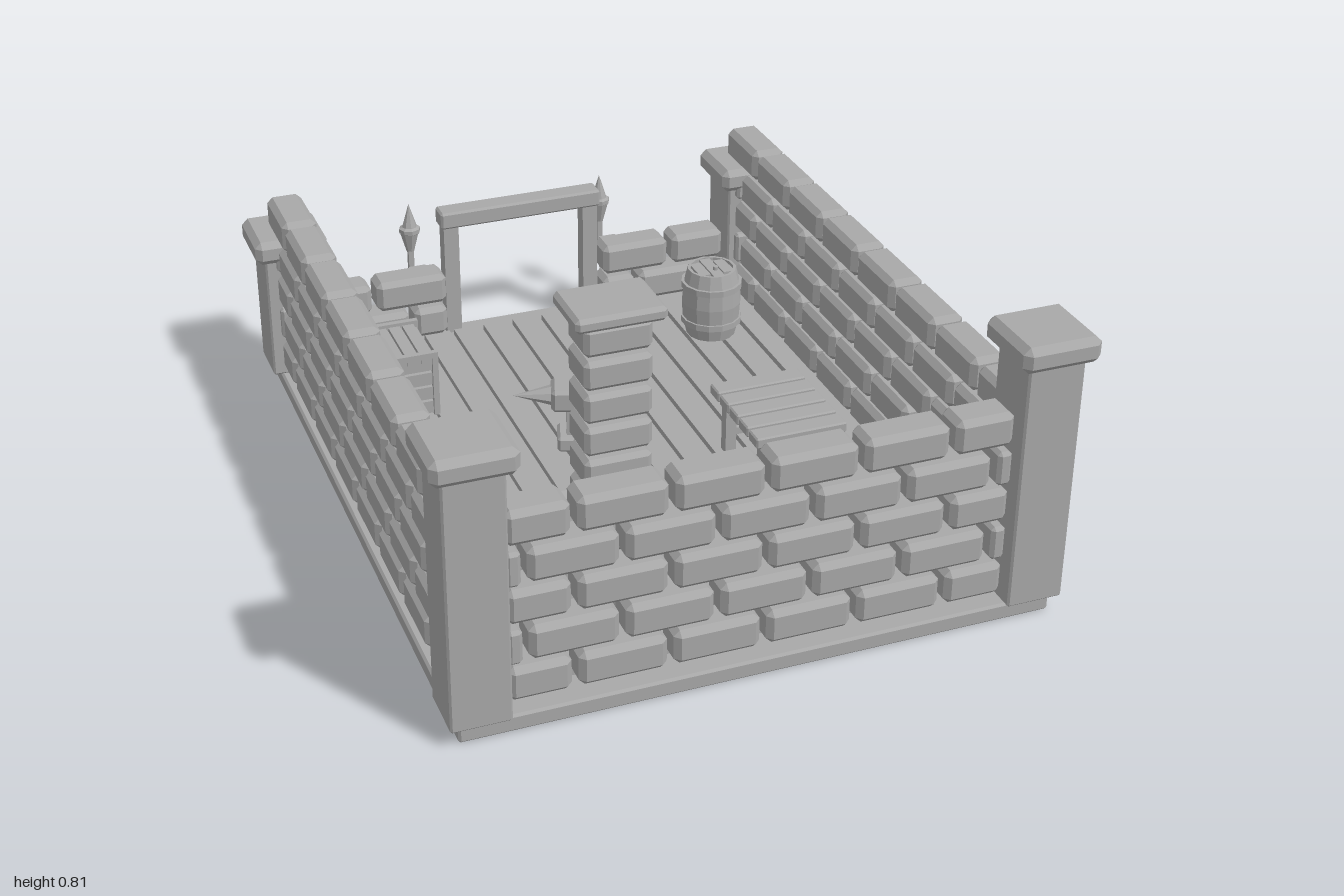
import * as THREE from 'three';
import { ConvexGeometry } from 'three/addons/geometries/ConvexGeometry.js';

const stone = new THREE.MeshStandardMaterial({ color: 0xa8a8a8, flatShading: true });
stone.name = 'stone grey';

// Box with cut edges, centred on its origin
function chamferBox(w, h, d, c) {
  const pts = [];
  for (const x of [-1, 1]) for (const y of [-1, 1]) for (const z of [-1, 1]) {
    const X = x * w / 2, Y = y * h / 2, Z = z * d / 2;
    pts.push(new THREE.Vector3(X, Y - y * c, Z - z * c),
      new THREE.Vector3(X - x * c, Y, Z - z * c),
      new THREE.Vector3(X - x * c, Y - y * c, Z));
  }
  return new ConvexGeometry(pts);
}

function add(parent, name, geometry, x = 0, y = 0, z = 0) {
  const mesh = new THREE.Mesh(geometry, stone);
  mesh.name = name;
  mesh.position.set(x, y, z);
  parent.add(mesh);
  return mesh;
}

function group(parent, name, x = 0, y = 0, z = 0) {
  const g = new THREE.Group();
  g.name = name;
  g.position.set(x, y, z);
  parent.add(g);
  return g;
}

// Block given by its minimum and maximum corners
function block(parent, name, x0, x1, y0, y1, z0, z1, c = 0) {
  const w = x1 - x0, h = y1 - y0, d = z1 - z0;
  const geo = c ? chamferBox(w, h, d, c) : new THREE.BoxGeometry(w, h, d);
  return add(parent, name, geo, (x0 + x1) / 2, (y0 + y1) / 2, (z0 + z1) / 2);
}

// One course of bricks from a to b; joints fall at start + k * pitch
function course(parent, axis, a, b, start, pitch, y, h, across, depth) {
  const gap = 0.016;
  for (let s = start - Math.ceil((start - a) / pitch) * pitch; s < b; s += pitch) {
    const lo = Math.max(a, s + gap / 2), hi = Math.min(b, s + pitch - gap / 2);
    if (hi - lo < 0.025) continue;
    const p = across - depth / 2, q = across + depth / 2;
    const c = Math.min(0.015, (hi - lo) / 4);
    if (axis === 'x') block(parent, 'brick', lo, hi, y, y + h, p, q, c);
    else block(parent, 'brick', p, q, y, y + h, lo, hi, c);
  }
}

function addWalls(model) {
  const front = group(model, 'frontWall'), back = group(model, 'backWall');
  const rows = [0.065, 0.166, 0.27, 0.371, 0.474];
  rows.forEach((y, i) => {
    const even = i % 2;
    course(front, 'x', -0.615, 0.615, even ? -0.572 : -0.456, 0.2285, y, 0.09, 0.893, 0.095);
    // Low wall on both sides of the doorway
    if (i < 2) {
      course(back, 'x', -0.615, -0.24, even ? -0.452 : -0.345, 0.22, y, 0.09, -0.832, 0.095);
      course(back, 'x', 0.24, 0.615, even ? 0.448 : 0.345, 0.22, y, 0.09, -0.832, 0.095);
    }
  });
  for (const s of [-1, 1]) {
    const side = group(model, s > 0 ? 'leftWall' : 'rightWall');
    rows.forEach((y, i) => course(side, 'z', i === 4 ? -0.83 : -0.76, 0.835,
      i % 2 ? 0.587 : 0.694, 0.2185, y, 0.09, s * 0.685, 0.095));
    // Corner posts: tall at the front, short at the back
    for (const [name, z, top] of [['frontPost', 0.9, 0.69], ['backPost', -0.825, 0.4]]) {
      const post = group(model, name, s * 0.69, 0, z);
      block(post, 'shaft', -0.0725, 0.0725, 0.045, top + 0.01, -0.0725, 0.0725, 0.005);
      block(post, 'cap', -0.1, 0.1, top, top + 0.067, -0.1, 0.1, 0.017);
    }
  }
}

function addDoorway(model) {
  const door = group(model, 'doorFrame');
  for (const x of [-0.21, 0.21]) block(door, 'doorPost', x - 0.022, x + 0.022, 0.045, 0.39, -0.87, -0.826);
  block(door, 'lintel', -0.24, 0.24, 0.38, 0.43, -0.882, -0.818, 0.006);
  // Torches on bent brackets
  const head = [[0, 0.255], [0.012, 0.26], [0.028, 0.318], [0.031, 0.32], [0.031, 0.332], [0.022, 0.337], [0, 0.408]]
    .map(p => new THREE.Vector2(...p));
  for (const x of [-0.295, 0.29]) {
    const torch = group(model, 'torch', x, 0, -0.968);
    block(torch, 'wallPlate', -0.025, 0.025, 0.14, 0.24, 0.066, 0.088);
    block(torch, 'arm', -0.008, 0.008, 0.165, 0.181, -0.008, 0.07);
    block(torch, 'stem', -0.008, 0.008, 0.165, 0.265, -0.008, 0.008);
    add(torch, 'torchHead', new THREE.LatheGeometry(head, 8));
  }
}

function addForge(model) {
  const forge = group(model, 'forge');
  for (let i = 0; i < 3; i++) {
    const y = 0.062 + i * 0.088, o = i % 2 ? 0.05 : 0.105;
    course(forge, 'x', -0.505, -0.1, -0.505 + o, 0.105, y, 0.08, 0.678, 0.045);
    course(forge, 'x', -0.505, -0.1, -0.505 + o, 0.105, y, 0.08, 0.512, 0.045);
    course(forge, 'z', 0.537, 0.653, 0.537, 0.13, y, 0.08, -0.483, 0.045);
    course(forge, 'z', 0.537, 0.653, 0.537, 0.13, y, 0.08, -0.122, 0.045);
  }
  block(forge, 'fireBed', -0.465, -0.14, 0.06, 0.3, 0.53, 0.66);
  // Coals
  for (let i = 0; i < 18; i++) {
    const coal = add(forge, 'coal', new THREE.IcosahedronGeometry(0.018 + (i % 3) * 0.004, 0),
      -0.42 + (i % 9) * 0.031, 0.308 + (i * 7 % 4) * 0.004, 0.585 + (i * 5 % 7) * 0.01);
    coal.rotation.set(i, i * 2, 0);
  }
  // Chimney
  for (let i = 0; i < 6; i++) {
    const y = 0.692 - i * 0.087;
    block(forge, 'chimneyStone', -0.305, -0.137, y, y + 0.076, 0.456, 0.582, 0.012);
  }
  block(forge, 'chimneyCap', -0.333, -0.11, 0.77, 0.807, 0.433, 0.605, 0.01);
}

function addAnvil(model) {
  const anvil = group(model, 'anvil', -0.09, 0, -0.075);
  anvil.rotation.y = -0.31;
  block(anvil, 'anvilFoot', -0.06, 0.06, 0.06, 0.105, -0.045, 0.045, 0.008);
  block(anvil, 'anvilWaist', -0.035, 0.035, 0.1, 0.19, -0.028, 0.028);
  block(anvil, 'anvilFace', -0.075, 0.08, 0.18, 0.245, -0.045, 0.045, 0.01);
  const horn = add(anvil, 'horn', new THREE.ConeGeometry(0.04, 0.11, 8), -0.12, 0.213, 0);
  horn.rotation.z = Math.PI / 2;
  horn.scale.x = 0.65;
}

function addFurniture(model) {
  // Table
  const table = group(model, 'table', 0.353, 0, 0.207);
  for (let i = 0; i < 5; i++) {
    const z = (i - 2) * 0.0635;
    block(table, 'tableSlat', -0.125, 0.125, 0.22, 0.25, z - 0.027, z + 0.027, 0.004);
  }
  for (const x of [-0.085, 0.085]) {
    for (const z of [-0.115, 0.115]) block(table, 'tableLeg', x - 0.015, x + 0.015, 0.06, 0.22, z - 0.015, z + 0.015);
    block(table, 'tableRail', x - 0.012, x + 0.012, 0.195, 0.222, -0.15, 0.15);
  }
  for (const z of [-0.115, 0.115]) block(table, 'stretcher', -0.09, 0.09, 0.11, 0.13, z - 0.009, z + 0.009);

  // Barrel with iron hoops and a planked lid
  const barrel = group(model, 'barrel', 0.48, 0, -0.545);
  const profile = [[0, 0.06], [0.07, 0.06], [0.082, 0.11], [0.086, 0.165], [0.082, 0.22], [0.07, 0.268], [0.062, 0.268], [0.062, 0.258], [0, 0.258]];
  add(barrel, 'staves', new THREE.LatheGeometry(profile.map(p => new THREE.Vector2(...p)), 14));
  for (const y of [0.11, 0.22]) add(barrel, 'hoop', new THREE.CylinderGeometry(0.088, 0.088, 0.018, 14), 0, y);
  for (let i = -1; i <= 1; i++) block(barrel, 'lidBoard', i * 0.036 - 0.016, i * 0.036 + 0.016, 0.25, 0.266, i ? -0.04 : -0.058, i ? 0.04 : 0.058);
  add(barrel, 'bung', new THREE.CylinderGeometry(0.008, 0.008, 0.012, 8), 0.005, 0.27, 0.015);

  // Slatted crate
  const crate = group(model, 'crate', -0.48, 0, -0.463);
  block(crate, 'crateCore', -0.07, 0.07, 0.06, 0.232, -0.085, 0.085);
  for (let i = 0; i < 4; i++) {
    const x = (i - 1.5) * 0.039, y = 0.064 + i * 0.044;
    block(crate, 'topSlat', x - 0.016, x + 0.016, 0.22, 0.243, -0.1, 0.1);
    for (const s of [-1, 1]) {
      add(crate, 'sideSlat', new THREE.BoxGeometry(0.014, 0.036, 0.19), s * 0.076, y + 0.018);
      add(crate, 'endSlat', new THREE.BoxGeometry(0.15, 0.036, 0.014), 0, y + 0.018, s * 0.09);
    }
  }
  for (const z of [-0.098, 0.098]) {
    block(crate, 'rail', -0.088, 0.088, 0.235, 0.252, z - 0.008, z + 0.008);
    for (const x of [-0.08, 0.08]) block(crate, 'cratePost', x - 0.008, x + 0.008, 0.06, 0.25, z - 0.008, z + 0.008);
  }

  // Tool rack with hanging hammers
  const rack = group(model, 'toolRack');
  block(rack, 'rackBoard', 0.135, 0.455, 0.235, 0.28, 0.812, 0.828);
  for (const x of [0.2, 0.298, 0.395]) {
    block(rack, 'peg', x - 0.008, x + 0.008, 0.238, 0.25, 0.775, 0.845);
    block(rack, 'hammerHead', x - 0.03, x + 0.03, 0.222, 0.258, 0.763, 0.788, 0.005);
    block(rack, 'hammerHandle', x - 0.008, x + 0.008, 0.115, 0.225, 0.768, 0.783);
  }
}

export function createModel() {
  const model = new THREE.Group();
  model.name = 'workshop';
  // Foundation slab and floorboards
  block(model, 'foundation', -0.74, 0.74, 0, 0.045, -0.88, 0.955, 0.006);
  for (let i = 0; i < 15; i++) {
    const x = -0.627 + i * 0.0895;
    block(model, 'floorboard', x - 0.038, x + 0.038, 0.04, 0.062, -0.81, 0.86);
  }
  addWalls(model);
  addDoorway(model);
  addForge(model);
  addAnvil(model);
  addFurniture(model);
  return model;
}
